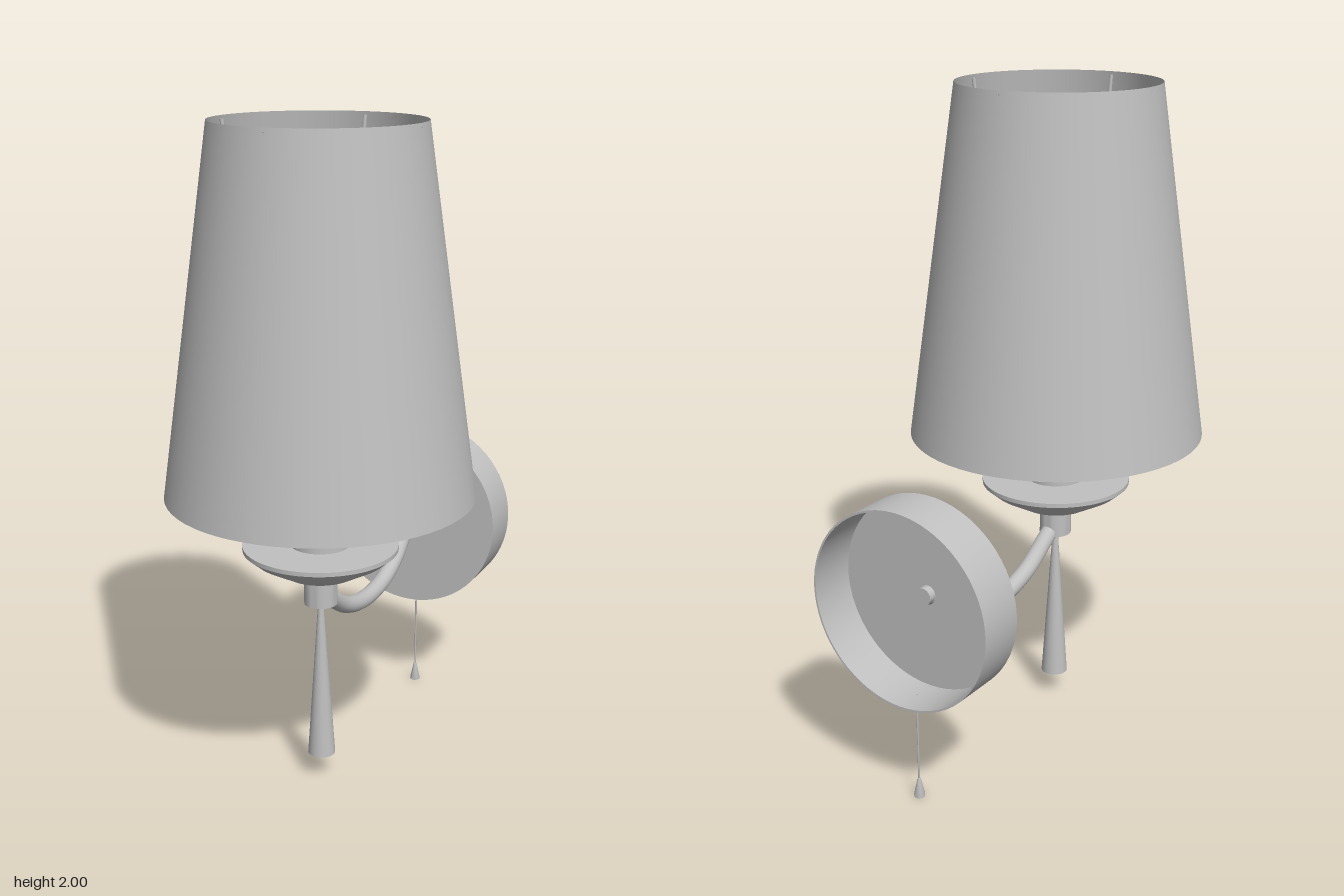
import * as THREE from 'three';
import { toCreasedNormals } from 'three/addons/utils/BufferGeometryUtils.js';

export function createModel() {
  const group = new THREE.Group();
  const grey = new THREE.MeshStandardMaterial({ color: 0xc0c0c0, side: THREE.DoubleSide });
  grey.name = 'satin grey';

  const lampZ = 0.18;    // axis of shade, candle and pendant
  const plateY = 0.633;  // centre height of the wall plate

  const add = (name, geometry, x = 0, y = 0, z = 0) => {
    const mesh = new THREE.Mesh(geometry, grey);
    mesh.name = name;
    mesh.position.set(x, y, z);
    group.add(mesh);
    return mesh;
  };
  // Turned part from [radius, height] pairs, listed bottom to top
  const turned = (points, segments = 48) => toCreasedNormals(
    new THREE.LatheGeometry(points.map(([r, y]) => new THREE.Vector2(r, y)), segments), 0.5);
  const rod = (points, radius, segments = 8) =>
    new THREE.TubeGeometry(points, segments, radius, 6, false);

  // Open tapered shade
  add('shade', new THREE.CylinderGeometry(0.305, 0.455, 1.07, 64, 1, true), 0, 1.465, lampZ);

  // Four bent wires holding the shade
  for (let i = 0; i < 4; i++) {
    const a = i * Math.PI / 2;
    const at = (r, y) => new THREE.Vector3(r * Math.sin(a), y, r * Math.cos(a));
    const path = new THREE.CurvePath();
    path.add(new THREE.LineCurve3(at(0.302, 1.99), at(0.16, 0.97)));
    path.add(new THREE.LineCurve3(at(0.16, 0.97), at(0.08, 0.97)));
    add('shadeWire', rod(path, 0.006, 28), 0, 0, lampZ);
  }

  // Candle, bulb and drip dish
  add('candle', turned([[0, 0.76], [0.09, 0.76], [0.09, 1], [0, 1]]), 0, 0, lampZ);
  add('bulb', turned([[0.035, 0.99], [0.035, 1.03], [0.067, 1.15], [0.064, 1.2],
    [0.045, 1.28], [0.02, 1.36], [0, 1.4]], 32), 0, 0, lampZ);
  add('dish', turned([[0, 0.68], [0.11, 0.68], [0.2, 0.73], [0.232, 0.757],
    [0.232, 0.77], [0, 0.77]], 64), 0, 0, lampZ);
  add('socket', turned([[0, 0.58], [0.05, 0.58], [0.05, 0.685], [0, 0.685]], 32), 0, 0, lampZ);

  // Tapered pendant below the socket
  add('pendant', turned([[0, 0.08], [0.042, 0.08], [0.008, 0.585], [0, 0.585]], 24), 0, 0, lampZ);

  // Curved arm from the socket to the wall plate
  const armPath = new THREE.CatmullRomCurve3([
    [0.17, 0.605], [0.12, 0.575], [0.02, 0.512], [-0.08, 0.48], [-0.18, 0.472],
    [-0.28, 0.487], [-0.37, 0.528], [-0.44, 0.59], [-0.495, 0.633],
  ].map(([z, y]) => new THREE.Vector3(0, y, z)));
  add('arm', new THREE.TubeGeometry(armPath, 48, 0.027, 16, false));

  // Wall plate: a shallow cup, open to the back
  const plate = add('wallPlate', turned([[0.294, -0.15], [0.3, -0.15], [0.3, 0], [0, 0],
    [0, -0.006], [0.294, -0.006], [0.294, -0.15]], 64), 0, plateY, -0.49);
  plate.rotation.x = Math.PI / 2;
  const nut = add('plateNut', new THREE.CylinderGeometry(0.026, 0.026, 0.03, 20), 0, plateY, -0.505);
  nut.rotation.x = Math.PI / 2;

  // Pull cord with its small weight
  add('pullCord', new THREE.CylinderGeometry(0.003, 0.003, 0.29, 6), 0, 0.195, -0.56);
  add('cordWeight', turned([[0, 0], [0.016, 0], [0.016, 0.008], [0.005, 0.06], [0, 0.06]], 16), 0, 0, -0.56);

  return group;
}
